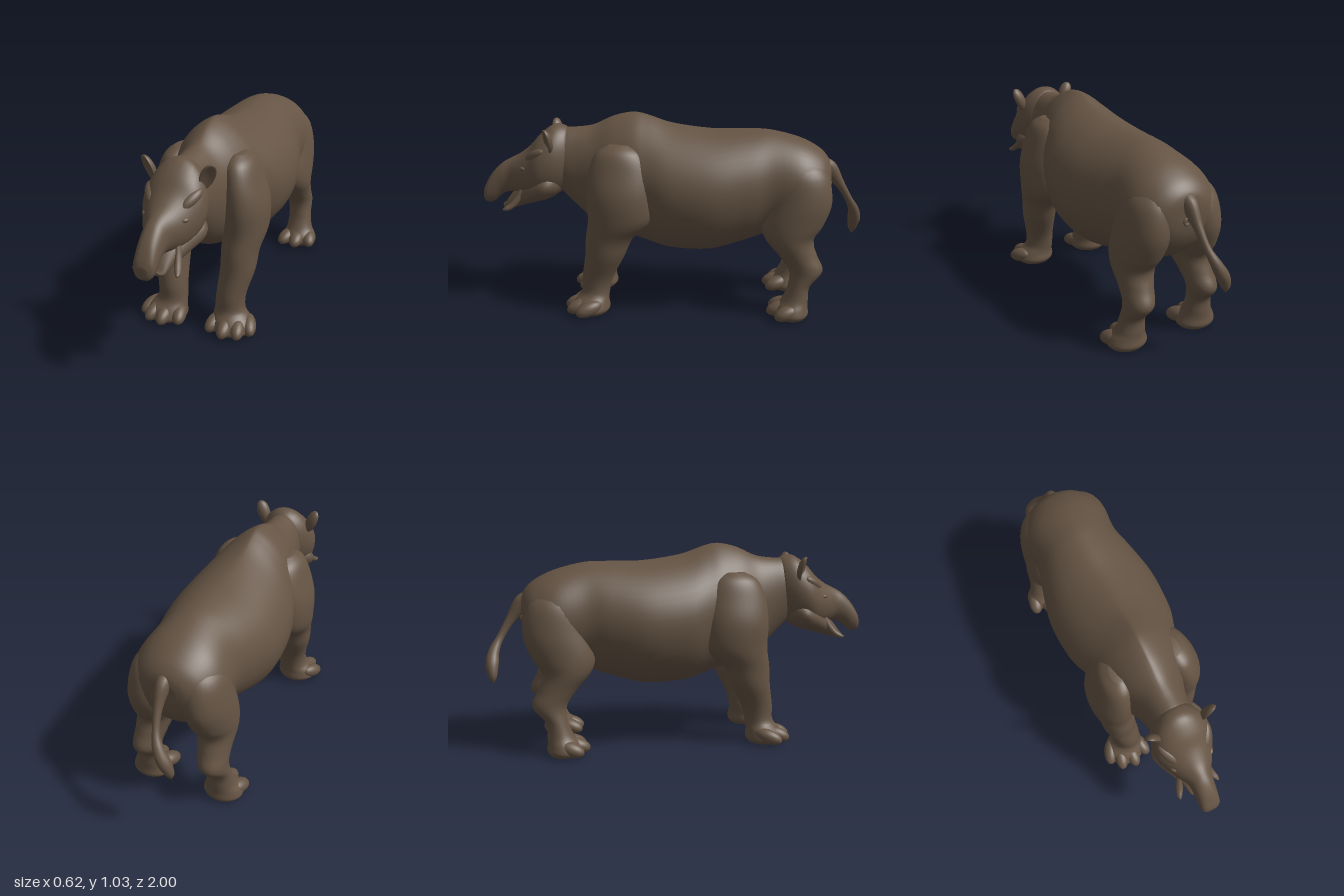
import * as THREE from 'three';

const hide = new THREE.MeshStandardMaterial({ color: 0x655444 });
hide.name = 'brown hide';

// smooth interpolation between neighbouring cross-sections
const spline = (a, b, c, d, t) =>
  b + 0.5 * t * (c - a + t * (2 * a - 5 * b + 4 * c - d + t * (3 * (b - c) + d - a)));

// Skin over rings [x, y, z, half width, half height, tilt in degrees, shape]
// shape above 1 narrows the upper half, below 1 squares the whole ring
function loft(name, rings, sides = 32, steps = 5) {
  const rows = [];
  const at = i => rings[Math.min(Math.max(i, 0), rings.length - 1)];
  for (let i = 0; i < rings.length - 1; i++)
    for (let s = 0; s < steps; s++)
      rows.push(at(i).map((v, k) => spline(at(i - 1)[k], v, at(i + 1)[k], at(i + 2)[k], s / steps)));
  rows.push(at(rings.length - 1));

  const pos = [], index = [];
  for (const [x, y, z, w, h, tilt = 0, shape = 1] of rows) {
    const t = THREE.MathUtils.degToRad(tilt);
    for (let j = 0; j < sides; j++) {
      const a = (j / sides) * Math.PI * 2;
      const c = Math.cos(a), v = Math.sin(a) * Math.max(h, 0.002);
      const p = v > 0 || shape < 1 ? shape : 1;
      const u = Math.sign(c) * Math.pow(Math.abs(c), p) * Math.max(w, 0.002);
      pos.push(x + u, y + v * Math.cos(t), z + v * Math.sin(t));
    }
  }
  for (let i = 0; i < rows.length - 1; i++)
    for (let j = 0; j < sides; j++) {
      const k = (j + 1) % sides, a = i * sides, b = a + sides;
      index.push(a + j, a + k, b + j, a + k, b + k, b + j);
    }
  // end caps
  const first = pos.length / 3, last = (rows.length - 1) * sides;
  pos.push(...rows[0].slice(0, 3), ...rows[rows.length - 1].slice(0, 3));
  for (let j = 0; j < sides; j++) {
    const k = (j + 1) % sides;
    index.push(first, k, j, first + 1, last + j, last + k);
  }
  const g = new THREE.BufferGeometry();
  g.setAttribute('position', new THREE.Float32BufferAttribute(pos, 3));
  g.setIndex(index);
  g.computeVertexNormals();
  const m = new THREE.Mesh(g, hide);
  m.name = name;
  return m;
}

// Rings along z from [z, top, bottom, half width, shape]
const along = list => list.map(([z, top, bot, w, n = 1]) => [0, (top + bot) / 2, z, w, (top - bot) / 2, 0, n]);
// Rings going down from [y, x, z, half width, half depth]
const down = (list, s) => list.map(([y, x, z, w, d]) => [s * x, y, z, w, d, 90, 1]);

function blob(name, x, y, z, rx, ry, rz, turn = 0, pitch = 0) {
  const m = new THREE.Mesh(new THREE.SphereGeometry(1, 20, 14), hide);
  m.name = name;
  m.position.set(x, y, z);
  m.scale.set(rx, ry, rz);
  m.rotation.set(pitch, turn, 0, 'YXZ');
  return m;
}

export function createModel() {
  const model = new THREE.Group();
  model.name = 'animal';

  // Trunk and neck
  model.add(loft('body', along([
    [-0.815, 0.77, 0.66, 0.06], [-0.80, 0.815, 0.59, 0.125], [-0.75, 0.865, 0.51, 0.19], [-0.65, 0.915, 0.44, 0.232],
    [-0.50, 0.953, 0.41, 0.228, 1.1], [-0.38, 0.957, 0.37, 0.26, 1.15], [-0.20, 0.957, 0.32, 0.298, 1.2],
    [0.00, 0.985, 0.323, 0.288, 1.35], [0.12, 1.025, 0.355, 0.25, 1.5], [0.20, 1.04, 0.38, 0.225, 1.5],
    [0.30, 1.02, 0.40, 0.195, 1.4], [0.40, 0.975, 0.45, 0.15, 1.2], [0.48, 0.96, 0.52, 0.122],
    [0.56, 0.955, 0.60, 0.108], [0.60, 0.93, 0.64, 0.09],
  ]), 48));

  // Skull running into the drooping snout
  model.add(loft('head', along([
    [0.53, 0.93, 0.67, 0.085], [0.55, 0.962, 0.64, 0.112], [0.61, 0.972, 0.60, 0.143], [0.68, 0.925, 0.58, 0.150],
    [0.74, 0.86, 0.575, 0.126], [0.80, 0.815, 0.595, 0.093], [0.85, 0.79, 0.61, 0.064, 0.95],
    [0.90, 0.76, 0.595, 0.056, 0.85], [0.95, 0.71, 0.555, 0.053, 0.75], [0.985, 0.655, 0.553, 0.047, 0.7],
    [1.0, 0.62, 0.57, 0.025, 0.8],
  ]), 36));
  model.add(loft('lowerJaw', along([
    [0.57, 0.72, 0.63, 0.07], [0.61, 0.745, 0.598, 0.13], [0.66, 0.745, 0.575, 0.153], [0.72, 0.715, 0.558, 0.13],
    [0.78, 0.665, 0.54, 0.095], [0.82, 0.635, 0.528, 0.072, 0.9], [0.86, 0.59, 0.52, 0.058, 0.8],
    [0.885, 0.555, 0.522, 0.048, 0.75], [0.897, 0.545, 0.53, 0.03, 0.8],
  ]), 28));

  for (const s of [1, -1]) {
    const side = s > 0 ? 'left' : 'right';

    // Face details
    model.add(blob(side + 'Brow', s * 0.097, 0.825, 0.70, 0.03, 0.028, 0.07, s * -0.5, 0.5));
    model.add(blob(side + 'Eye', s * 0.098, 0.755, 0.766, 0.013, 0.011, 0.02, s * -0.6));
    model.add(blob(side + 'Nostril', s * 0.02, 0.575, 0.982, 0.014, 0.011, 0.012));
    model.add(loft(side + 'Tusk', [
      [s * 0.068, 0.64, 0.78, 0.014, 0.016, 80], [s * 0.077, 0.60, 0.80, 0.016, 0.018, 75],
      [s * 0.088, 0.56, 0.83, 0.018, 0.018, 65], [s * 0.100, 0.54, 0.86, 0.015, 0.014, 45],
      [s * 0.106, 0.535, 0.88, 0.005, 0.005, 35],
    ], 12));

    // Leaf-shaped ear with a hollow front
    const leaf = new THREE.SphereGeometry(1, 24, 18);
    const p = leaf.attributes.position;
    for (let i = 0; i < p.count; i++) {
      const x = p.getX(i), y = p.getY(i), z = p.getZ(i);
      const r = 0.035 * (1 + 0.15 * y);
      p.setXYZ(i, x * r, y * 0.07, z > 0 ? z * 0.016 - 0.02 * Math.max(0, 1 - x * x - y * y) : z * 0.03);
    }
    leaf.computeVertexNormals();
    const ear = new THREE.Mesh(leaf, hide);
    ear.name = side + 'Ear';
    ear.position.set(s * 0.143, 0.907, 0.627);
    ear.rotation.set(0.3, s * 0.5, s * -0.45);
    model.add(ear);

    // Front leg from shoulder to foot
    model.add(loft(side + 'FrontLeg', down([
      [0.90, 0.15, 0.26, 0.03, 0.05], [0.86, 0.16, 0.26, 0.07, 0.115], [0.77, 0.175, 0.258, 0.09, 0.156],
      [0.65, 0.188, 0.256, 0.11, 0.171], [0.52, 0.19, 0.26, 0.107, 0.162], [0.42, 0.182, 0.315, 0.093, 0.122],
      [0.32, 0.178, 0.342, 0.087, 0.102], [0.20, 0.160, 0.382, 0.075, 0.082], [0.12, 0.158, 0.395, 0.077, 0.074],
      [0.075, 0.175, 0.415, 0.098, 0.09], [0.035, 0.18, 0.423, 0.108, 0.103], [0.012, 0.18, 0.423, 0.09, 0.088],
    ], s)));
    [[0.098, 0.455], [0.165, 0.487], [0.226, 0.472], [0.267, 0.42]].forEach(([x, z], i) =>
      model.add(blob(side + 'FrontToe' + (i + 1), s * x, 0.053, z, 0.037, 0.038, 0.072, s * (x - 0.16) * 4, 0.3)));

    // Hind leg from thigh over the hock to the foot
    model.add(loft(side + 'HindLeg', down([
      [0.84, 0.10, -0.64, 0.04, 0.06], [0.76, 0.12, -0.65, 0.10, 0.135], [0.62, 0.138, -0.65, 0.114, 0.164],
      [0.50, 0.15, -0.618, 0.11, 0.158], [0.42, 0.16, -0.605, 0.098, 0.122], [0.34, 0.17, -0.65, 0.08, 0.098],
      [0.26, 0.18, -0.693, 0.07, 0.086], [0.18, 0.19, -0.662, 0.065, 0.056], [0.11, 0.195, -0.645, 0.074, 0.066],
      [0.07, 0.20, -0.63, 0.092, 0.08], [0.035, 0.20, -0.628, 0.102, 0.086], [0.012, 0.20, -0.628, 0.085, 0.072],
    ], s)));
    [[0.135, -0.577], [0.20, -0.565], [0.265, -0.60]].forEach(([x, z], i) =>
      model.add(blob(side + 'HindToe' + (i + 1), s * x, 0.053, z, 0.041, 0.038, 0.07, s * (x - 0.2) * 5, 0.3)));
  }

  // Tail with a thick tip swinging to one side
  model.add(loft('tail', [
    [0, 0.79, -0.72, 0.05, 0.05, 135], [0, 0.755, -0.805, 0.036, 0.045, 135], [-0.004, 0.675, -0.868, 0.022, 0.025, 130],
    [-0.018, 0.59, -0.92, 0.018, 0.019, 118], [-0.045, 0.525, -0.955, 0.028, 0.027, 100],
    [-0.075, 0.465, -0.967, 0.035, 0.033, 90], [-0.098, 0.405, -0.966, 0.025, 0.022, 90],
    [-0.105, 0.37, -0.965, 0.004, 0.004, 90],
  ], 18));
  const vent = new THREE.Mesh(new THREE.TorusGeometry(0.014, 0.007, 10, 20), hide);
  vent.name = 'vent';
  vent.position.set(0.015, 0.68, -0.816);
  model.add(vent);

  return model;
}
